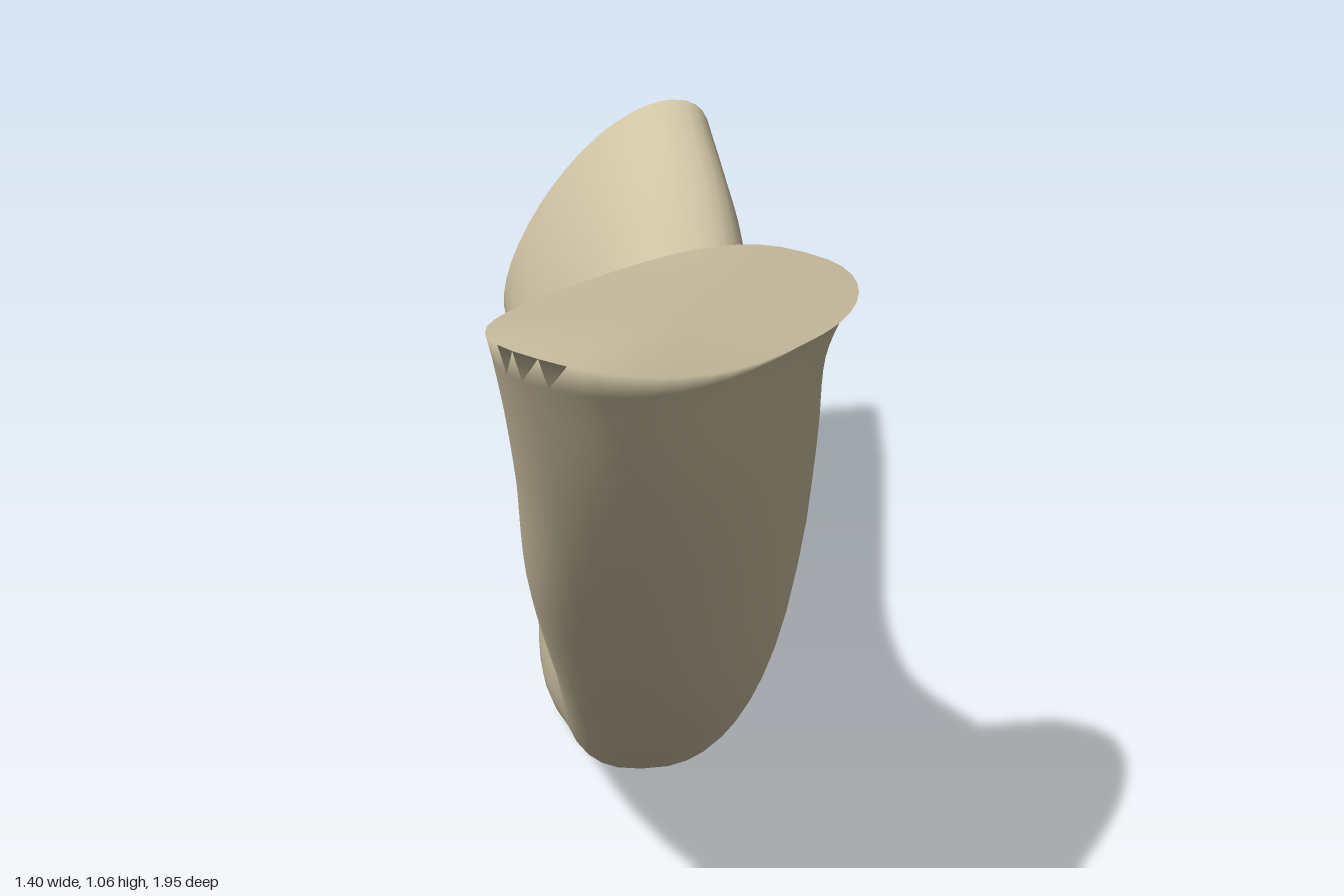
import * as THREE from 'three';

// Each station: [lower edge xyz], [upper edge xyz], [sideways direction xyz], half thickness
const STATIONS = [
  [[-0.685, 1.06, 0.92], [-0.06, 0.955, 0.525], [0.57, -0.14, 0.82], 0.135],
  [[-0.575, 0.85, 0.84], [-0.085, 0.87, 0.45], [0.68, 0, 0.73], 0.145],
  [[-0.455, 0.62, 0.7], [-0.065, 0.76, 0.385], [0.8, 0, 0.6], 0.15],
  [[-0.285, 0.365, 0.51], [0.02, 0.63, 0.225], [0.86, 0, 0.51], 0.15],
  [[-0.125, 0.165, 0.27], [0.11, 0.54, 0.06], [0.87, 0, 0.5], 0.145],
  [[0.02, 0.04, 0.0], [0.2, 0.49, -0.05], [0.88, 0, 0.48], 0.14],
  [[0.11, 0.0, -0.2], [0.27, 0.485, -0.16], [0.89, 0, 0.46], 0.145],
  [[0.27, 0.065, -0.46], [0.43, 0.56, -0.43], [0.88, 0, 0.45], 0.15],
  [[0.405, 0.155, -0.72], [0.555, 0.64, -0.64], [0.85, 0, 0.42], 0.15],
  [[0.48, 0.295, -0.975], [0.635, 0.73, -0.805], [0.81, 0, 0.38], 0.145],
];
const RINGS = 45;
const SIDES = 40;

function geometryFrom(points, index) {
  const geometry = new THREE.BufferGeometry().setFromPoints(points);
  geometry.setIndex(index);
  geometry.computeVertexNormals();
  return geometry;
}

// Smooth curve through one column of the stations
function curveOf(pick) {
  return new THREE.CatmullRomCurve3(STATIONS.map((s) => new THREE.Vector3(...pick(s))));
}

// Midpoint between the top and bottom of a ring
const middleOf = (ring) => ring[SIDES / 4].clone().add(ring[(SIDES * 3) / 4]).multiplyScalar(0.5);

export function createModel() {
  const group = new THREE.Group();
  const bone = new THREE.MeshStandardMaterial({ color: 0xcec2a3 });
  bone.name = 'warm bone';

  const lower = curveOf((s) => s[0]);
  const upper = curveOf((s) => s[1]);
  const side = curveOf((s) => s[2].map((v) => v * s[3]));

  // Flattened oval rings swept along the bend, squarer in the middle than at the rear
  const points = [];
  for (let i = 0; i <= RINGS; i++) {
    const t = i / RINGS;
    const power = (v) => Math.sign(v) * Math.abs(v) ** (0.8 + 0.15 * t ** 4);
    const low = lower.getPoint(t);
    const high = upper.getPoint(t);
    const across = side.getPoint(t);
    const centre = low.clone().add(high).multiplyScalar(0.5);
    const half = high.clone().sub(low).multiplyScalar(0.5);
    for (let j = 0; j < SIDES; j++) {
      const a = (j / SIDES) * Math.PI * 2;
      const p = centre.clone()
        .addScaledVector(across, power(Math.cos(a)))
        .addScaledVector(half, power(Math.sin(a)));
      // The rim of the mouth sags a little between its two tips
      if (i === 0) p.y -= 0.018 * Math.cos(a) ** 2;
      points.push(p);
    }
  }
  const endRing = points.slice(-SIDES).map((p) => p.clone());

  const index = [];
  for (let i = 0; i < RINGS; i++) {
    for (let j = 0; j < SIDES; j++) {
      const k = (j + 1) % SIDES;
      const a = i * SIDES + j, b = i * SIDES + k;
      index.push(a, a + SIDES, b, b, a + SIDES, b + SIDES);
    }
  }

  // Slanted mouth, sharing the rim so that its shading rolls over the edge
  const mouth = points.length;
  points.push(middleOf(points).add(new THREE.Vector3(0, -0.018, 0)));
  for (let j = 0; j < SIDES; j++) index.push(mouth, j, (j + 1) % SIDES);

  const body = new THREE.Mesh(geometryFrom(points, index), bone);
  body.name = 'curvedBody';
  group.add(body);

  // Flat face at the rear end, with its own normals for a sharp rim
  const capIndex = [];
  for (let j = 0; j < SIDES; j++) capIndex.push(SIDES, (j + 1) % SIDES, j);
  const cap = new THREE.Mesh(geometryFrom([...endRing, middleOf(endRing)], capIndex), bone);
  cap.name = 'rearEndFace';
  group.add(cap);

  // Rest on the ground and centre
  const box = new THREE.Box3().setFromObject(group);
  const middle = box.getCenter(new THREE.Vector3());
  group.children.forEach((m) => m.geometry.translate(-middle.x, -box.min.y, -middle.z));
  return group;
}
